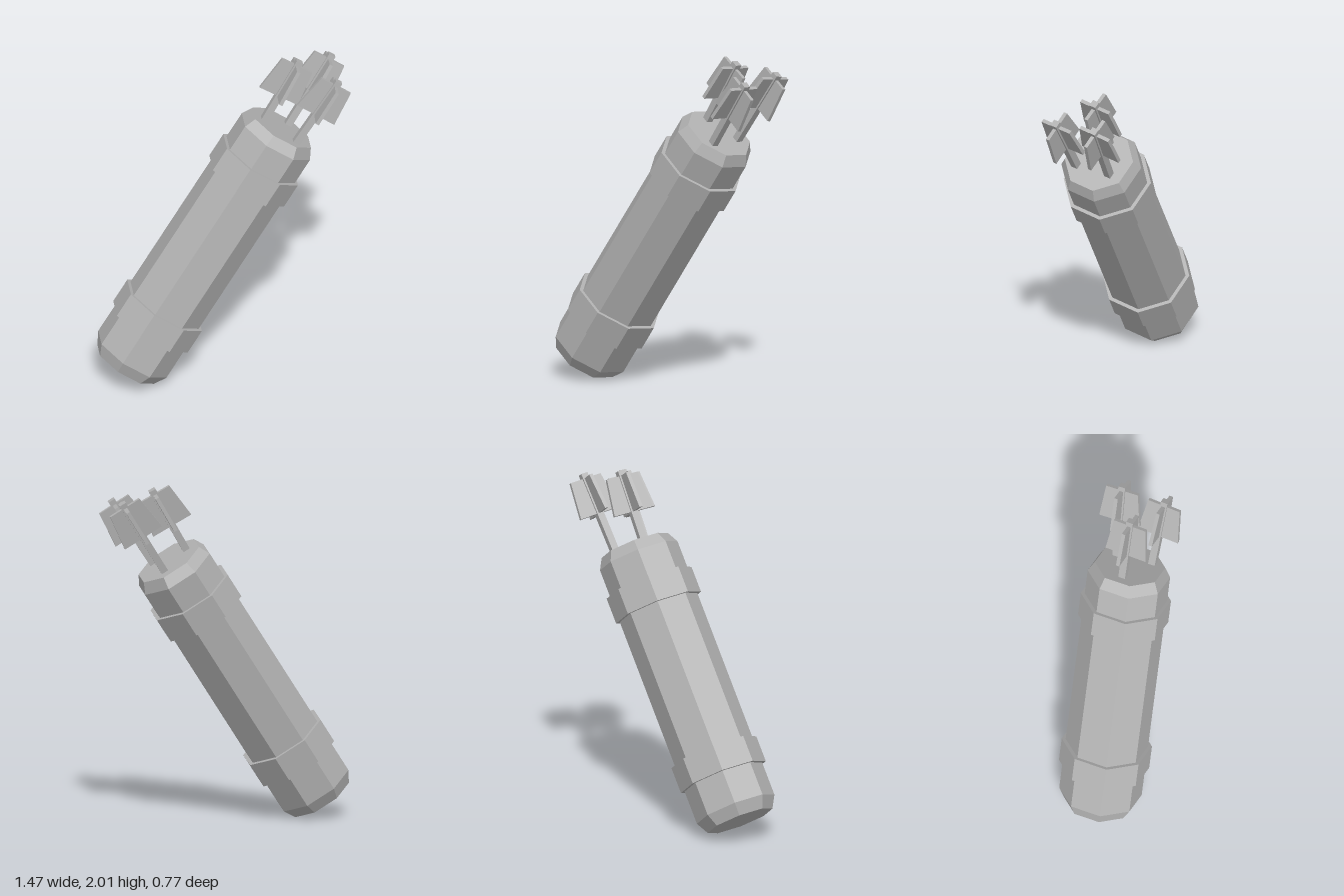
import * as THREE from 'three';

const grey = new THREE.MeshStandardMaterial({ color: 0xb0b0b0, flatShading: true });
grey.name = 'grey';

const LENGTH = 1.73;

// Solid eight-sided turned part; profile gives [distance to flat side, height]
function octagon(name, profile) {
  const k = 1 / Math.cos(Math.PI / 8);
  const points = profile.map(([r, y]) => new THREE.Vector2(r * k, y));
  const mesh = new THREE.Mesh(new THREE.LatheGeometry(points, 8, Math.PI / 8), grey);
  mesh.name = name;
  return mesh;
}

// Arrow running from base to tip, with two crossed tapering fins
function makeArrow(base, tip) {
  const arrow = new THREE.Group();
  arrow.name = 'arrow';
  const direction = tip.clone().sub(base);
  const length = direction.length();
  const sunk = 0.05;

  const shaft = new THREE.Mesh(new THREE.BoxGeometry(0.042, length + sunk, 0.042), grey);
  shaft.name = 'arrowShaft';
  shaft.position.y = (length - sunk) / 2;
  arrow.add(shaft);

  const thickness = 0.022;
  const outline = new THREE.Shape([
    new THREE.Vector2(-0.127, length - 0.25),
    new THREE.Vector2(0.127, length - 0.25),
    new THREE.Vector2(0.1, length - 0.03),
    new THREE.Vector2(-0.1, length - 0.03),
  ]);
  const finGeometry = new THREE.ExtrudeGeometry(outline, { depth: thickness, bevelEnabled: false });
  finGeometry.translate(0, 0, -thickness / 2);
  for (const turn of [0, Math.PI / 2]) {
    const fin = new THREE.Mesh(finGeometry, grey);
    fin.name = 'arrowFin';
    fin.rotation.y = turn;
    arrow.add(fin);
  }

  arrow.position.copy(base);
  arrow.quaternion.setFromUnitVectors(new THREE.Vector3(0, 1, 0), direction.normalize());
  return arrow;
}

export function createModel() {
  const model = new THREE.Group();
  model.name = 'quiver';

  // Everything is built upright, then leaned to the side and back
  const leaning = new THREE.Group();
  leaning.name = 'leaningQuiver';
  leaning.position.set(-0.58, 0.11, 0.185);
  leaning.rotation.set(-0.156, 0, -0.562, 'ZXY');
  model.add(leaning);

  // Tube with chamfered ends
  leaning.add(octagon('tube', [
    [0, 0], [0.185, 0], [0.222, 0.073], [0.222, LENGTH - 0.065], [0.19, LENGTH], [0, LENGTH],
  ]));

  // Two raised bands
  for (const y of [0.353, 1.418]) {
    const h = 0.078;
    const band = octagon('band', [[0.2, -h], [0.243, -h], [0.243, h], [0.2, h]]);
    band.position.y = y;
    leaning.add(band);
  }

  // Three slightly splayed arrows: base x, z, then tip x, z and height above the rim
  const arrows = [
    [-0.12, 0.006, -0.139, 0.017, 0.42],
    [0.055, -0.106, 0.05, -0.122, 0.5],
    [0.085, 0.107, 0.09, 0.134, 0.46],
  ];
  for (const [bx, bz, tx, tz, rise] of arrows) {
    leaning.add(makeArrow(
      new THREE.Vector3(bx, LENGTH, bz),
      new THREE.Vector3(tx, LENGTH + rise, tz),
    ));
  }

  return model;
}
